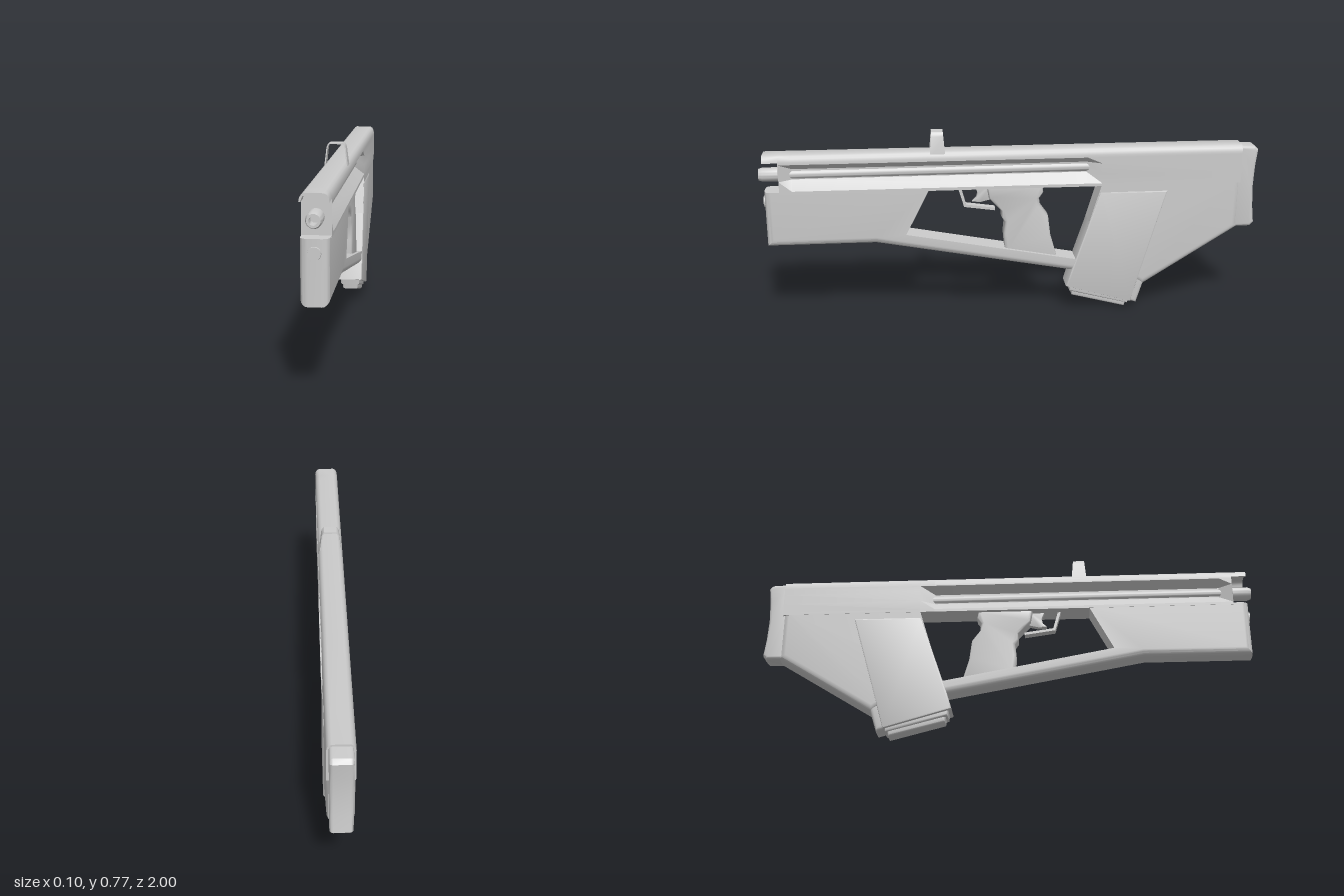
import * as THREE from 'three';
import { toCreasedNormals } from 'three/addons/utils/BufferGeometryUtils.js';

const material = new THREE.MeshStandardMaterial({ color: 0xcccccc, side: THREE.DoubleSide });
const vectors = (pts) => pts.map(([a, b]) => new THREE.Vector2(a, b));

function add(group, name, geometry, crease = 0.6) {
  const mesh = new THREE.Mesh(toCreasedNormals(geometry, crease), material);
  mesh.name = name;
  group.add(mesh);
  return mesh;
}

// Side profile of [z, y] points, extruded across x with rounded edges
function sideExtrude(pts, halfWidth, bevel = 0, segments = 3) {
  const geo = new THREE.ExtrudeGeometry(new THREE.Shape(vectors(pts)), {
    depth: 2 * (halfWidth - bevel), bevelEnabled: bevel > 0, bevelThickness: bevel,
    bevelSize: bevel, bevelOffset: -bevel, bevelSegments: segments,
  });
  return geo.translate(0, 0, bevel - halfWidth).rotateY(-Math.PI / 2);
}

// Lower body: rounded outside, sharp around the grip opening and along the top seam
function lowerBody() {
  const opening = [[-0.36, 0.545], [-0.263, 0.225], [0.43, 0.354], [0.332, 0.545]];
  const geo = sideExtrude([[0.98, 0.545], [0.98, 0.32], [0.55, 0.32], [-0.5, 0.126], [-0.54, 0.1],
    [-0.93, 0.343], [-0.93, 0.545], ...opening], 0.049, 0.026, 5);
  const p = geo.attributes.position;
  for (let i = 0; i < p.count; i++) {
    const z = p.getZ(i), y = p.getY(i);
    const corner = opening.find(([cz, cy]) => Math.hypot(cz - z, cy - y) < 0.06);
    if (corner) p.setXYZ(i, p.getX(i), corner[1], corner[0]);
    else if (y > 0.5) p.setY(i, 0.545);
  }
  return geo;
}

// Upper receiver: cross-sections along z, with side channels that fade out at both ends
function upperReceiver() {
  const w = 0.05, floor = 0.014;
  const stations = [[-0.93, 0], [-0.36, 0], [-0.3, 1], [0.87, 1], [0.92, 0]];
  const section = (depth) => {
    const inner = w - (w - floor) * depth;
    const half = [[w, 0.536], [w, 0.548], [inner, 0.588], [inner, 0.63], [w, 0.656],
      [w, 0.666], [0.047, 0.679], [0.041, 0.688], [0.032, 0.693]];
    return [...half, ...half.map(([x, y]) => [-x, y]).reverse()];
  };
  const rings = stations.map(([z, d]) => section(d).map(([x, y]) => [x, y, z]));
  const out = [], n = rings[0].length, last = rings.length - 1;
  for (let i = 0; i < n; i++) {
    const j = (i + 1) % n;
    for (let s = 0; s < last; s++) {
      const a = rings[s][i], b = rings[s][j], c = rings[s + 1][j], d = rings[s + 1][i];
      out.push(...a, ...b, ...c, ...a, ...c, ...d);
    }
    out.push(0, 0.61, -0.93, ...rings[0][j], ...rings[0][i]);
    out.push(0, 0.61, 0.92, ...rings[last][i], ...rings[last][j]);
  }
  const geo = new THREE.BufferGeometry();
  geo.setAttribute('position', new THREE.Float32BufferAttribute(out, 3));
  geo.computeVertexNormals();
  return geo;
}

// Symmetric arch-shaped band: half profile of outer and inner edges, extruded along z
function arch(outer, inner, z, depth) {
  const mirror = (pts) => pts.map(([x, y]) => [-x, y]).reverse();
  const pts = [...outer, ...mirror(outer), ...mirror(inner).reverse(), ...inner.slice().reverse()];
  const geo = new THREE.ExtrudeGeometry(new THREE.Shape(vectors(pts)), { depth, bevelEnabled: false });
  return geo.translate(0, 0, z);
}

export function createModel() {
  const model = new THREE.Group();
  model.name = 'bullpupRifle';

  add(model, 'lowerBody', lowerBody());
  add(model, 'upperReceiver', upperReceiver());

  // Hood over the muzzle
  add(model, 'muzzleHood', arch(
    [[0.05, 0.664], [0.047, 0.679], [0.041, 0.688], [0.032, 0.693]],
    [[0.043, 0.664], [0.041, 0.674], [0.036, 0.682], [0.029, 0.686]], 0.91, 0.07));

  // Barrel with a hollow muzzle collar
  const barrel = new THREE.LatheGeometry(vectors([[0.021, -0.36], [0.021, 0.915], [0.028, 0.925],
    [0.028, 0.985], [0.023, 1], [0.015, 1], [0.015, 0.95], [0, 0.95]]), 28);
  add(model, 'barrel', barrel.rotateX(Math.PI / 2).translate(0, 0.607, 0));

  // Round plug on the front face
  const plug = new THREE.CylinderGeometry(0.022, 0.024, 0.012, 28);
  add(model, 'frontPlug', plug.rotateX(Math.PI / 2).translate(0, 0.497, 0.98));

  // Magazine well, its rear spine and the magazine
  add(model, 'magazineWell', sideExtrude([[-0.354, 0.51], [-0.63, 0.51], [-0.49, 0.03],
    [-0.22, 0.107], [-0.241, 0.177]], 0.052, 0.006, 2));
  add(model, 'wellSpine', sideExtrude([[-0.42, 0.2], [-0.45, 0.04], [-0.518, 0.02],
    [-0.543, 0.1], [-0.58, 0.2]], 0.044, 0.014));
  add(model, 'magazineCollar', sideExtrude([[-0.23, 0.13], [-0.236, 0.082], [-0.482, 0.018],
    [-0.495, 0.09]], 0.04, 0.008));
  add(model, 'magazineBase', sideExtrude([[-0.24, 0.11], [-0.247, 0.06], [-0.47, 0.002],
    [-0.485, 0.06]], 0.033, 0.01));

  // Pistol grip with finger and palm swells
  add(model, 'grip', sideExtrude([[0.105, 0.545], [0.095, 0.49], [0.07, 0.462], [0.045, 0.435],
    [0.045, 0.41], [0.032, 0.39], [0.037, 0.34], [0.03, 0.26], [-0.185, 0.225], [-0.155, 0.33],
    [-0.145, 0.41], [-0.112, 0.455], [-0.108, 0.485], [-0.125, 0.51], [-0.12, 0.545]], 0.034, 0.012), 0.8);

  // Trigger and its guard
  add(model, 'triggerGuard', sideExtrude([[0.22, 0.54], [0.195, 0.454], [0.07, 0.436], [0.07, 0.447],
    [0.187, 0.464], [0.208, 0.54]], 0.016));
  add(model, 'trigger', sideExtrude([[0.155, 0.545], [0.14, 0.51], [0.145, 0.49], [0.162, 0.474],
    [0.13, 0.47], [0.09, 0.48], [0.085, 0.545]], 0.011, 0.003, 2));

  // Sight loop, narrowing towards its top
  const sight = arch([[0.047, 0.66], [0.036, 0.752], [0.032, 0.763], [0.025, 0.769]],
    [[0.042, 0.66], [0.032, 0.75], [0.029, 0.759], [0.024, 0.764]], -0.032, 0.064);
  const p = sight.attributes.position;
  for (let i = 0; i < p.count; i++) p.setZ(i, 0.298 + p.getZ(i) * (1 - 2.6 * (p.getY(i) - 0.66)));
  add(model, 'sightLoop', sight);

  // Butt pad with a hollowed back
  add(model, 'buttPad', sideExtrude([[-0.91, 0.686], [-0.985, 0.683], [-1, 0.668], [-0.992, 0.6],
    [-0.988, 0.515], [-0.992, 0.43], [-1, 0.36], [-0.985, 0.343], [-0.91, 0.343]], 0.041, 0.012));

  return model;
}
